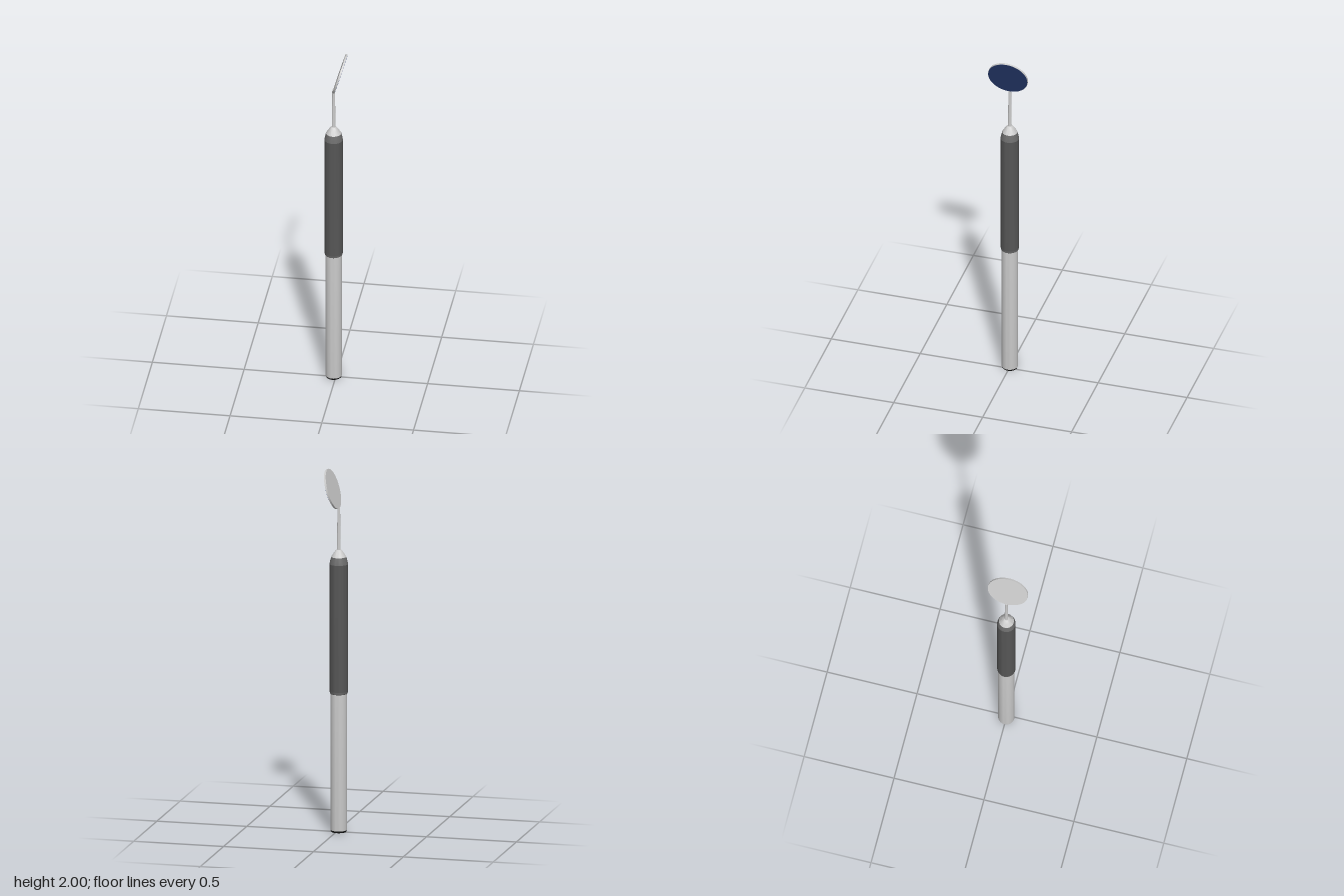
import * as THREE from 'three';
import { toCreasedNormals } from 'three/addons/utils/BufferGeometryUtils.js';

const AXIS_X = -0.012;
const material = (color = 0xcccccc) => new THREE.MeshStandardMaterial({ color });

// Turned part about the handle axis; profile is [radius, y] from bottom to top
function turned(name, profile, color, crease = 0.5) {
  const points = profile.map(([r, y]) => new THREE.Vector2(r, y));
  const geometry = toCreasedNormals(new THREE.LatheGeometry(points, 40), crease);
  const mesh = new THREE.Mesh(geometry, material(color));
  mesh.name = name;
  mesh.position.x = AXIS_X;
  return mesh;
}

export function createModel() {
  const group = new THREE.Group();
  group.name = 'mouthMirror';

  // Handle with a dark rounded end
  group.add(
    turned('endCap', [[0, 0], [0.038, 0], [0.042, 0.004], [0.0445, 0.011]], 0x1c1c1c),
    turned('handle', [[0.0445, 0.011], [0.045, 0.016], [0.045, 0.785]])
  );

  // Grip sleeve with slightly lighter bevelled ends
  group.add(
    turned('gripLowerBevel', [[0.044, 0.763], [0.0475, 0.766], [0.05, 0.778]], 0x6c6c6c),
    turned('grip', [[0.05, 0.778], [0.05, 1.48]], 0x565656),
    turned('gripUpperBevel', [[0.05, 1.48], [0.0475, 1.495], [0.041, 1.52]], 0x6c6c6c)
  );

  // Tapered collar and thin neck
  group.add(
    turned('collar', [[0.041, 1.52], [0.028, 1.541], [0.017, 1.556], [0.012, 1.56], [0, 1.56]]),
    turned('neck', [[0.01, 1.55], [0.0075, 1.79], [0, 1.79]])
  );

  // Tilted mirror head: grey backing disc with a blue reflecting face
  const head = new THREE.Group();
  head.name = 'mirrorHead';
  head.position.set(0.0225, 1.8923, 0);
  head.rotation.z = -THREE.MathUtils.degToRad(107);
  const disc = new THREE.Mesh(new THREE.CylinderGeometry(0.111, 0.111, 0.01, 64), material());
  disc.name = 'mirrorBacking';
  const glass = new THREE.Mesh(new THREE.CylinderGeometry(0.1095, 0.1095, 0.001, 64), material(0x24386a));
  glass.name = 'mirrorFace';
  glass.position.y = 0.0052;
  head.add(disc, glass);
  group.add(head);

  return group;
}
